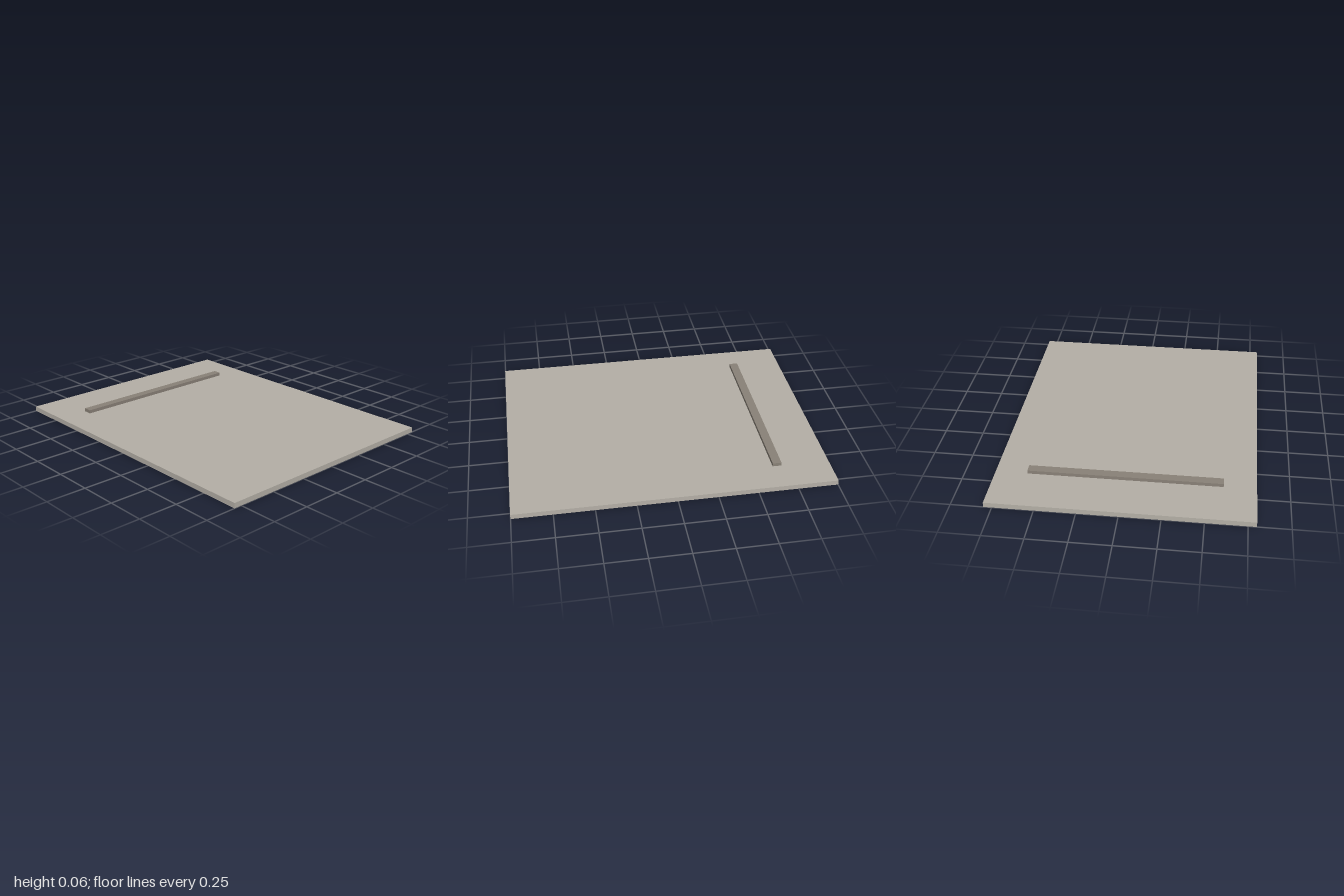
import * as THREE from 'three';

export function createModel() {
  const group = new THREE.Group();
  const stone = new THREE.MeshStandardMaterial({ name: 'warm grey', color: 0xb5b0a7, side: THREE.DoubleSide });
  const dark = new THREE.MeshStandardMaterial({ name: 'dark warm grey', color: 0x8a8278 });

  function add(name, geometry, material, x, y, z) {
    const mesh = new THREE.Mesh(geometry, material);
    mesh.name = name;
    mesh.position.set(x, y, z);
    group.add(mesh);
  }

  // Flat base slab
  add('baseSlab', new THREE.BoxGeometry(2, 0.032, 1.6), stone, 0, 0.016, 0);

  // Raised strip near the right edge, resting on the slab
  add('raisedStrip', new THREE.BoxGeometry(0.056, 0.022, 1.2), dark, -0.664, 0.043, 0);

  // Thin sheet floating just above the slab
  const sheet = new THREE.PlaneGeometry(0.787, 0.81).rotateX(-Math.PI / 2);
  add('floatingSheet', sheet, stone, -0.002, 0.064, 0.006);

  return group;
}
